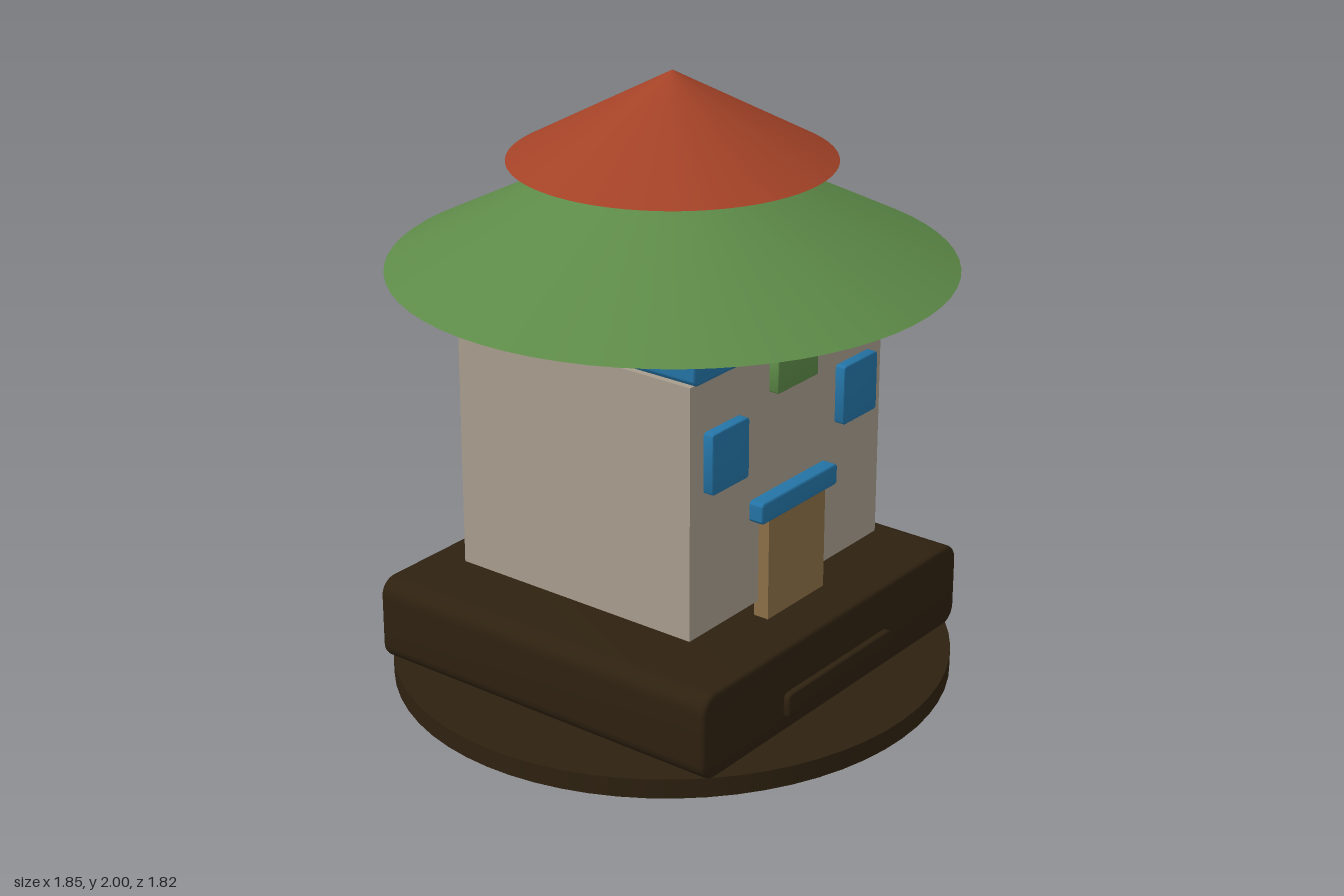
import * as THREE from 'three';
import { toCreasedNormals } from 'three/addons/utils/BufferGeometryUtils.js';

function material(name, color) {
  const m = new THREE.MeshStandardMaterial({ color });
  m.name = name;
  return m;
}

// Rounded rectangle in the xy plane, extruded along z with a small bevel
function roundedSlab(x0, x1, y0, y1, z0, z1, r, bevel) {
  const b = bevel, s = new THREE.Shape();
  const l = x0 + b, t = y1 - b, R = x1 - b, d = y0 + b;
  const q = Math.max(r - b, 0.001);
  s.moveTo(l + q, d);
  s.lineTo(R - q, d);
  s.absarc(R - q, d + q, q, -Math.PI / 2, 0);
  s.lineTo(R, t - q);
  s.absarc(R - q, t - q, q, 0, Math.PI / 2);
  s.lineTo(l + q, t);
  s.absarc(l + q, t - q, q, Math.PI / 2, Math.PI);
  s.lineTo(l, d + q);
  s.absarc(l + q, d + q, q, Math.PI, Math.PI * 1.5);
  const g = new THREE.ExtrudeGeometry(s, {
    depth: z1 - z0 - 2 * b, curveSegments: 8,
    bevelEnabled: true, bevelSize: b, bevelThickness: b, bevelSegments: 3,
  });
  g.translate(0, 0, z0 + b);
  return toCreasedNormals(g, 0.6);
}

function box(x0, x1, y0, y1, z0, z1) {
  return new THREE.BoxGeometry(x1 - x0, y1 - y0, z1 - z0)
    .translate((x0 + x1) / 2, (y0 + y1) / 2, (z0 + z1) / 2);
}

// Upright cone standing on y0
function cone(radius, y0, y1) {
  return new THREE.ConeGeometry(radius, y1 - y0, 64).translate(0, (y0 + y1) / 2, 0);
}

export function createModel() {
  const model = new THREE.Group();
  model.name = 'roundRoofHouse';

  const earth = material('darkEarth', 0x2e2110);
  const plaster = material('plaster', 0xa89d8d);
  const blue = material('blueTrim', 0x2474a6);
  const green = material('greenRoof', 0x5d8a48);
  const red = material('redRoof', 0xa34227);
  const wood = material('doorWood', 0x8b6f47);

  const add = (name, geometry, mat) => {
    const mesh = new THREE.Mesh(geometry, mat);
    mesh.name = name;
    model.add(mesh);
    return mesh;
  };

  // Ground disc, slightly oval, and the plinth with its front step
  const disc = new THREE.CylinderGeometry(1, 1, 0.065, 64).translate(0, 0.0325, 0);
  add('groundDisc', disc.scale(0.925, 1, 0.908), earth);
  add('plinth', roundedSlab(-0.69, 0.69, 0.06, 0.347, -0.655, 0.655, 0.06, 0.015), earth);
  add('frontStep', roundedSlab(-0.283, 0.283, 0.11, 0.195, 0.6, 0.675, 0.02, 0.006), earth);

  // House body, with a pipe half sunk in its left wall
  add('walls', box(-0.5, 0.5, 0.4, 1.23, -0.455, 0.455), plaster);
  add('pipe', new THREE.CylinderGeometry(0.0625, 0.0625, 0.865, 32)
    .translate(0.4425, 0.7825, 0), red);

  // Door, lintel, windows and sign board
  add('door', box(-0.15, 0.15, 0.345, 0.69, 0.44, 0.494), wood);
  add('lintel', roundedSlab(-0.2, 0.2, 0.69, 0.76, 0.42, 0.505, 0.012, 0.006), blue);
  for (const [name, x] of [['leftWindow', 0.342], ['rightWindow', -0.342]]) {
    add(name, roundedSlab(x - 0.092, x + 0.092, 0.868, 1.066, 0.44, 0.489, 0.012, 0.004), blue);
  }
  add('signBoard', roundedSlab(-0.105, 0.105, 1.09, 1.203, 0.44, 0.489, 0.006, 0.004), green);

  // Eaves slab and two stacked conical roofs
  add('eaves', roundedSlab(-0.6, 0.6, 1.285, 1.385, -0.548, 0.548, 0.02, 0.008), blue);
  add('lowerRoof', cone(0.898, 1.38, 1.84), green);
  add('upperRoof', cone(0.515, 1.72, 2), red);

  return model;
}
